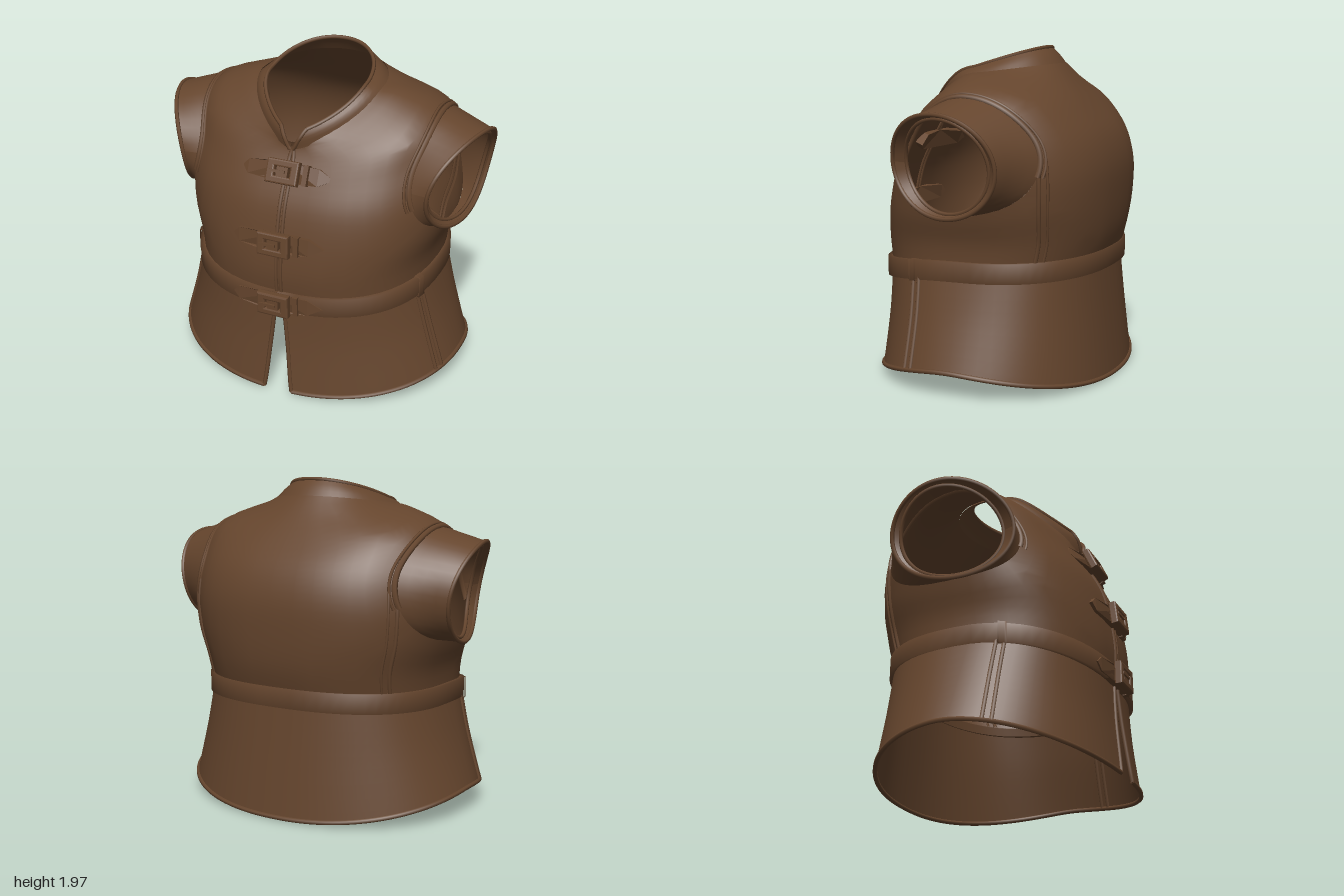
import * as THREE from 'three';

const leather = new THREE.MeshStandardMaterial({ color: 0x65452d, side: THREE.DoubleSide });
leather.name = 'brown leather';

// Cross-sections: half width, front z, back z, y at front, y at side, y at back, roundness,
// neck taper (narrows the front to a teardrop and straightens the rise to the nape)
const BODY = [
  [0.745, 0.66, -0.66, 0.63, 0.71, 0.725, 0.82, 0],
  [0.76, 0.675, -0.71, 0.80, 0.87, 0.90, 0.82, 0],
  [0.815, 0.655, -0.73, 1.00, 1.05, 1.10, 0.82, 0],
  [0.83, 0.61, -0.725, 1.20, 1.25, 1.30, 0.82, 0],
  [0.80, 0.535, -0.67, 1.36, 1.48, 1.47, 0.82, 0],
  [0.73, 0.475, -0.56, 1.47, 1.70, 1.62, 0.85, 0],
  [0.51, 0.455, -0.44, 1.53, 1.80, 1.76, 0.92, 0.1],
  [0.39, 0.465, -0.35, 1.56, 1.82, 1.87, 0.97, 0.35],
];
const SKIRT = [
  [0.92, 0.71, -0.73, 0.02, 0.16, 0.02, 0.91, 0],
  [0.825, 0.675, -0.69, 0.35, 0.45, 0.41, 0.87, 0],
  [0.755, 0.66, -0.66, 0.63, 0.71, 0.725, 0.82, 0],
];
const COLLAR = [
  [0.395, 0.475, -0.35, 1.52, 1.81, 1.865, 0.97, 0.35],
  [0.36, 0.485, -0.31, 1.58, 1.83, 1.92, 0.96, 0.42],
  [0.31, 0.48, -0.265, 1.62, 1.845, 1.965, 0.95, 0.5],
];

// Smooth blend between neighbouring sections
function section(keys, v) {
  const n = keys.length - 1, i = Math.min(n - 1, Math.max(0, Math.floor(v))), f = v - i;
  const [a, b, c, d] = [i - 1, i, i + 1, i + 2].map(k => keys[Math.min(n, Math.max(0, k))]);
  return b.map((_, k) => b[k] + 0.5 * f * (c[k] - a[k]
    + f * (2 * a[k] - 5 * b[k] + 4 * c[k] - d[k] + f * (3 * (b[k] - c[k]) + d[k] - a[k]))));
}

// Point on a lofted shell: t = 0 at the front, turning towards +x
function shell(keys, t, v, out = 0) {
  const [w, zf, zb, yf, ys, yb, round, taper] = section(keys, v);
  const s = Math.sin(t), c = Math.cos(t), p = round + taper * Math.max(0, c);
  const pow = a => Math.sign(a) * Math.abs(a) ** p;
  return new THREE.Vector3((w + out) * pow(s),
    ys + (c > 0 ? (yf - ys) * c ** 1.5 : (yb - ys) * (-c) ** (1.5 - taper)),
    (zf + zb) / 2 + ((zf - zb) / 2 + out) * pow(c));
}

// Surface from a rule f(i, j), leaving out cells where skip is true
function grid(f, nu, nv, skip = () => false) {
  const pos = [], idx = [], row = nu + 1;
  for (let j = 0; j <= nv; j++) for (let i = 0; i <= nu; i++) pos.push(...f(i, j).toArray());
  for (let j = 0; j < nv; j++) for (let i = 0; i < nu; i++) {
    if (skip(i + 0.5, j + 0.5)) continue;
    const a = j * row + i;
    idx.push(a, a + 1, a + row + 1, a, a + row + 1, a + row);
  }
  const g = new THREE.BufferGeometry();
  g.setAttribute('position', new THREE.Float32BufferAttribute(pos, 3));
  g.setIndex(idx);
  g.computeVertexNormals();
  return g;
}

function add(parent, name, geometry) {
  const m = new THREE.Mesh(geometry, leather);
  m.name = name;
  parent.add(m);
  return m;
}

// Raised edge along a rule f(0..1)
function trim(parent, name, f, radius, closed = false, n = 40) {
  const pts = Array.from({ length: closed ? n : n + 1 }, (_, i) => f(i / n));
  const curve = new THREE.CatmullRomCurve3(pts, closed);
  return add(parent, name, new THREE.TubeGeometry(curve, n * 2, radius, 6, closed));
}

const TAU = Math.PI * 2, NU = 48, lerp = THREE.MathUtils.lerp;

// Pulls the square armhole cut in the body grid into an ellipse
function bodyPoint(i, j) {
  for (const ci of [12, 36]) {
    const p = (i - ci) / 5, q = (j - 14) / 6, d = Math.max(Math.abs(p), Math.abs(q));
    if (d >= 0.99 && d < 2) {
      const f = 1 + (d / Math.hypot(p, q) - 1) * (2 - d);
      i = ci + p * f * 5;
      j = 14 + q * f * 6;
      break;
    }
  }
  return shell(BODY, i / NU * TAU, j / 4);
}
const inArmhole = (i, j) => [12, 36].some(c => Math.abs(i - c) < 5) && Math.abs(j - 14) < 6;

// Armhole rings: seam on the body, and the outer lip of the short sleeve
const flip = (v, side) => v.setX(v.x * side);
const seam = (a, side, k = 1) =>
  flip(shell(BODY, Math.PI / 2 - 5 * k / NU * TAU * Math.cos(a), 3.5 + 1.5 * k * Math.sin(a)), side);
function lip(a, side, k = 1, inset = 0) {
  const c = Math.cos(a), s = Math.sin(a);
  return new THREE.Vector3(side * (0.93 + 0.055 * s - 0.075 * c - 0.065 * c * c - inset),
    1.325 + 0.295 * (1 + k) / 2 * s, lerp(-0.08, 0.02, k) * 0.9 + 0.355 * k * c);
}

function sleeve(side) {
  const g = new THREE.Group();
  g.name = side > 0 ? 'leftSleeve' : 'rightSleeve';
  const ang = i => i / 40 * TAU;
  add(g, 'sleeveCap', grid((i, j) => seam(ang(i), side).lerp(lip(ang(i), side), j / 4), 40, 4));
  add(g, 'sleeveRim', grid((i, j) => lip(ang(i), side, lerp(1, 0.83, j / 2), j * 0.012), 40, 2));
  trim(g, 'sleeveEdge', u => lip(u * TAU, side), 0.013, true);
  trim(g, 'sleeveInnerEdge', u => lip(u * TAU, side, 0.83, 0.024), 0.012, true);
  // Raised seam over the shoulder only
  const over = u => lerp(-0.35, Math.PI + 0.35, u);
  trim(g, 'armholeSeam', u => seam(over(u), side), 0.018);
  trim(g, 'armholeOuterSeam', u => seam(over(u), side, 1.08), 0.009);
  return g;
}

// Pointed strap with a square buckle, curved to the chest
function clasp(name, y, z, tilt, bend) {
  const g = new THREE.Group();
  g.name = name;
  const outline = [[-0.25, 0.04], [-0.29, 0], [-0.25, -0.045], [-0.1, -0.055], [0, -0.055], [0.1, -0.055],
    [0.2, -0.05], [0.29, 0], [0.2, 0.05], [0.1, 0.055], [0, 0.055], [-0.1, 0.055]];
  const strap = new THREE.ExtrudeGeometry(new THREE.Shape(outline.map(p => new THREE.Vector2(...p))),
    { depth: 0.05, bevelEnabled: false });
  const pos = strap.attributes.position;
  for (let i = 0; i < pos.count; i++) pos.setZ(i, pos.getZ(i) - 0.025 - bend * pos.getX(i) ** 2);
  strap.computeVertexNormals();
  add(g, 'strap', strap);
  const rect = (w, h) => [[-w, -h], [w, -h], [w, h], [-w, h]].map(p => new THREE.Vector2(...p));
  const frame = new THREE.Shape(rect(0.09, 0.06));
  frame.holes.push(new THREE.Path(rect(0.06, 0.037).reverse()));
  add(g, 'buckleFrame', new THREE.ExtrudeGeometry(frame,
    { depth: 0.03, bevelSize: 0.01, bevelThickness: 0.01, bevelSegments: 2 })).position.z = 0.03;
  add(g, 'buckleBar', new THREE.BoxGeometry(0.07, 0.1, 0.05)).position.z = 0.04;
  add(g, 'bucklePin', new THREE.BoxGeometry(0.1, 0.016, 0.02)).position.set(-0.03, 0, 0.066);
  add(g, 'strapLoop', new THREE.BoxGeometry(0.03, 0.12, 0.04)).position.set(0.13, 0, 0.012);
  g.position.set(-0.01, y, z);
  g.rotation.x = tilt;
  return g;
}

export function createModel() {
  const model = new THREE.Group();
  model.name = 'leatherVest';

  // Torso with armholes
  add(model, 'torso', grid(bodyPoint, NU, 28, inArmhole));
  model.add(sleeve(1), sleeve(-1));

  // Front closure edges and the panel seams down the back
  for (const side of [1, -1]) {
    trim(model, 'frontEdge', u => flip(shell(BODY, 0.008, u * 6.6), side), 0.012);
    trim(model, 'backPanelSeam', u => flip(shell(BODY, 2.2, u * 3.2), side), 0.013);
    trim(model, 'backPanelOuterSeam', u => flip(shell(BODY, 2.28, u * 3.4), side), 0.009);
  }

  // Collar, open in a V at the front
  const collar = (u, v) => {
    const gap = lerp(0.06, 0.4, v);
    return shell(COLLAR, lerp(gap, TAU - gap, u), v * 2);
  };
  add(model, 'collar', grid((i, j) => collar(i / NU, j / 6), NU, 6));
  trim(model, 'collarTopEdge', u => collar(u, 1), 0.012);
  for (const end of [0, 1]) trim(model, 'collarFrontEdge', u => collar(end, u), 0.012, false, 8);

  // Skirt, split at the front
  const skirt = (u, v) => {
    const gap = lerp(0.08, 0.008, v);
    return shell(SKIRT, lerp(gap, TAU - gap, u), v * 2);
  };
  add(model, 'skirt', grid((i, j) => skirt(i / 64, j / 10), 64, 10));
  trim(model, 'skirtHem', u => skirt(u, 0), 0.014, false, 64);
  for (const end of [0, 1]) trim(model, 'splitEdge', u => skirt(end, u), 0.013, false, 10);
  for (const side of [1, -1]) for (const t of [1.2, 1.27])
    trim(model, 'sideSeam', u => flip(shell(SKIRT, t, u * 2), side), 0.013, false, 10);

  // Belt with a loop at each side
  const band = (half, out) => (t, j) => {
    const p = shell(BODY, t, 0, [0, out, out, 0][j]);
    p.y += half * (j < 2 ? -1 : 1);
    return p;
  };
  const belt = band(0.058, 0.03), loop = band(0.064, 0.042);
  add(model, 'belt', grid((i, j) => belt(i / 64 * TAU, j), 64, 3));
  for (const side of [1, -1])
    add(model, 'beltLoop', grid((i, j) => flip(loop(1.2 + i * 0.018, j), side), 4, 3));

  // Three clasps down the front
  model.add(clasp('topClasp', 1.395, 0.525, -0.42, 0.6));
  model.add(clasp('middleClasp', 1.01, 0.66, -0.1, 0.45));
  model.add(clasp('beltClasp', 0.625, 0.675, 0, 0.35));

  return model;
}
